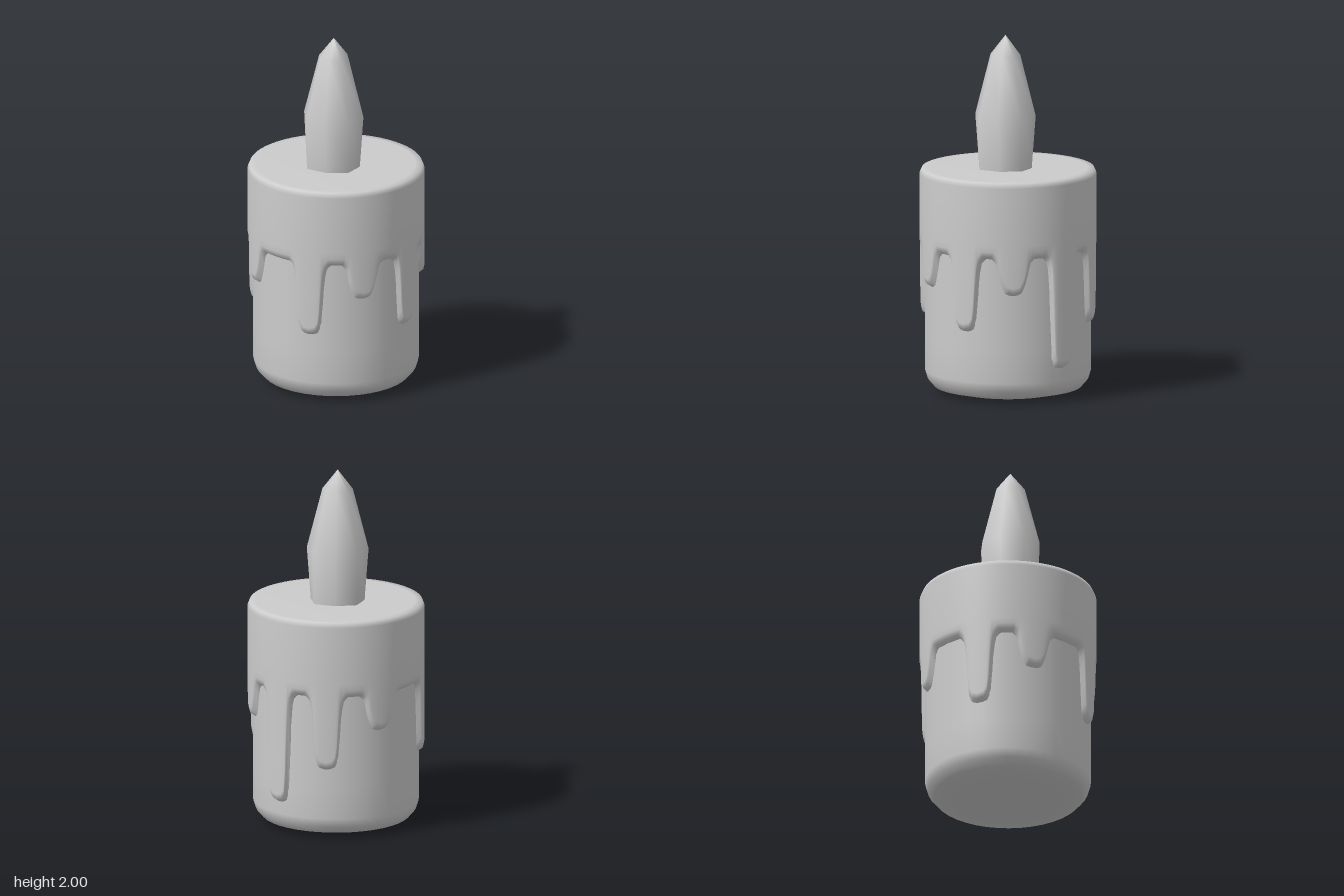
import * as THREE from 'three';

const material = new THREE.MeshStandardMaterial({ color: 0xcccccc, side: THREE.DoubleSide });

// Wax drips: [angle in degrees from the front towards +x, lowest y]
const drips = [
  [-9, 0.635], [28, 0.425], [62, 0.635], [98, 0.21], [134, 0.425],
  [172, 0.635], [224, 0.425], [262, 0.635], [314, 0.425],
];
const ARCH = 0.84;

// Height of one drip's edge at d degrees from its middle
function dripEdge(d, low) {
  const steps = [[0, low], [4, low + 0.01], [6.5, low + 0.05], [8.5, 0.74], [10, 0.81], [13, ARCH]];
  for (let i = 1; i < steps.length; i++) {
    const [d0, y0] = steps[i - 1], [d1, y1] = steps[i];
    if (d <= d1) return y0 + (y1 - y0) * (d - d0) / (d1 - d0);
  }
  return ARCH;
}

// Lower edge of the melted wax; grow widens the drips for the foot of the bevel
function waxEdge(deg, grow) {
  let y = ARCH;
  for (const [angle, low] of drips) {
    const d = Math.abs(((deg - angle + 540) % 360) - 180);
    y = Math.min(y, dripEdge(Math.max(0, d - grow), low));
  }
  return y - grow * 0.012;
}

// Melted wax layer: rings from the top centre down to the dripping edge
function waxGeometry() {
  const columns = 360;
  const rings = [
    [0.001, () => 1.255], [0.44, () => 1.255], [0.478, () => 1.253], [0.49, () => 1.225],
    [0.49, () => 0.9],
    [0.49, (a) => waxEdge(a, 0) + 0.025],
    [0.483, (a) => waxEdge(a, 0.3)],
    [0.455, (a) => waxEdge(a, 1.8)],
  ];
  const positions = [], index = [];
  rings.forEach(([r, height], i) => {
    for (let j = 0; j < columns; j++) {
      const deg = j * 360 / columns, t = THREE.MathUtils.degToRad(deg);
      positions.push(r * Math.sin(t), height(deg), r * Math.cos(t));
      if (i === rings.length - 1) continue;
      const next = (j + 1) % columns;
      const a = i * columns + j, d = i * columns + next;
      index.push(a, a + columns, d, a + columns, d + columns, d);
    }
  });
  const geometry = new THREE.BufferGeometry();
  geometry.setAttribute('position', new THREE.Float32BufferAttribute(positions, 3));
  geometry.setIndex(index);
  geometry.computeVertexNormals();
  return geometry;
}

function lathe(points, sides) {
  return new THREE.LatheGeometry(points.map(([r, y]) => new THREE.Vector2(r, y)), sides);
}

// Eight-sided flame, its diagonal corners drawn in at the foot
function flameGeometry() {
  const geometry = lathe([[0.165, 1.23], [0.17, 1.3], [0.172, 1.55], [0.085, 1.89], [0, 2]], 8);
  const p = geometry.attributes.position;
  for (let i = 0; i < p.count; i++) {
    const diagonal = Math.abs(p.getX(i) * p.getZ(i)) > 0.001;
    if (diagonal && p.getY(i) < 1.4) {
      p.setX(i, p.getX(i) * 0.9);
      p.setZ(i, p.getZ(i) * 0.9);
    }
  }
  return geometry;
}

export function createModel() {
  const group = new THREE.Group();
  group.name = 'candle';
  const add = (name, geometry) => {
    const mesh = new THREE.Mesh(geometry, material);
    mesh.name = name;
    group.add(mesh);
    return mesh;
  };

  // Inner candle with a rounded foot
  add('candleBody', lathe([[0, 0], [0.29, 0.002], [0.41, 0.03], [0.445, 0.07], [0.46, 0.12], [0.46, 0.3], [0.46, 0.92]], 40));
  add('meltedWax', waxGeometry());
  add('flame', flameGeometry()).position.set(-0.017, 0, 0.006);
  return group;
}
